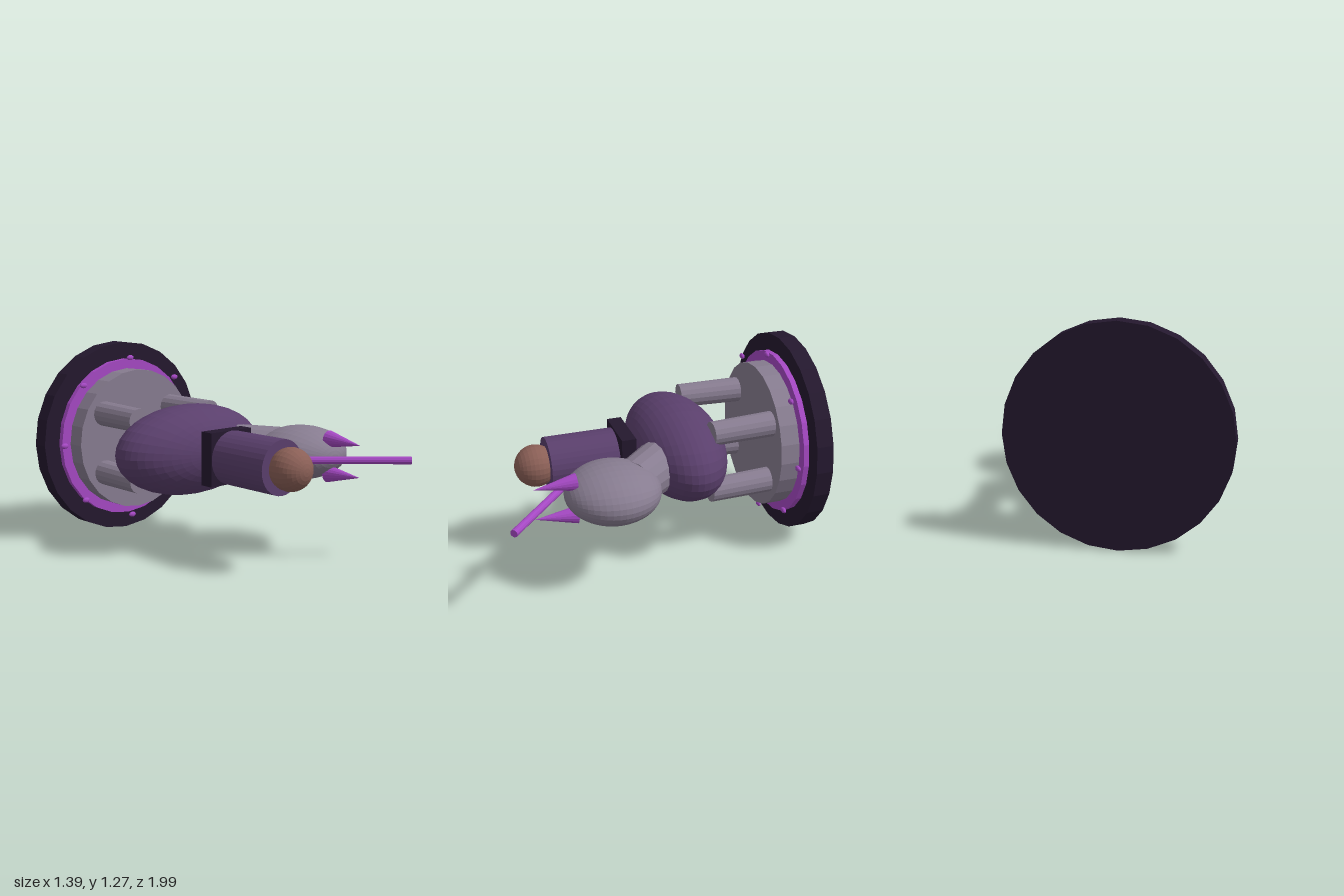
import * as THREE from 'three';

const material = (color) => new THREE.MeshStandardMaterial({ color, flatShading: true });
const dark = material(0x24182e);
const purple = material(0x5a3f6c);
const grey = material(0x877c90);
const magenta = material(0xa448c2);
const brown = material(0x8a5f56);

export function createModel() {
  const model = new THREE.Group();
  model.name = 'mountedFigure';
  // the figure is upright along z, standing on a disc at z = -1
  const cx = -0.063, cy = 0.638;

  const add = (name, geometry, mat, x, y, z) => {
    const mesh = new THREE.Mesh(geometry, mat);
    mesh.name = name;
    mesh.position.set(x, y, z);
    model.add(mesh);
    return mesh;
  };
  const ellipsoid = (name, mat, x, y, z, rx, ry, rz, w = 32, h = 24) =>
    add(name, new THREE.SphereGeometry(1, w, h).rotateX(Math.PI / 2).scale(rx, ry, rz), mat, x, y, z);
  // tapered round bar between two points
  const bar = (name, mat, from, to, r0, r1, sides) => {
    const a = new THREE.Vector3(...from), b = new THREE.Vector3(...to);
    const dir = b.clone().sub(a);
    const mid = a.clone().add(b).multiplyScalar(0.5);
    const mesh = add(name, new THREE.CylinderGeometry(r1, r0, dir.length(), sides), mat, mid.x, mid.y, mid.z);
    mesh.quaternion.setFromUnitVectors(new THREE.Vector3(0, 1, 0), dir.normalize());
    return mesh;
  };
  const disc = (name, mat, r, z0, z1, sides = 24) =>
    add(name, new THREE.CylinderGeometry(r, r, z1 - z0, sides).rotateX(Math.PI / 2), mat, cx, cy, (z0 + z1) / 2);

  // stepped base
  disc('base', dark, 0.637, -1, -0.893);
  disc('baseTrim', magenta, 0.527, -0.893, -0.858);
  disc('plinth', grey, 0.463, -0.858, -0.74);

  // ring of beads
  for (let i = 0; i < 8; i++) {
    const a = (i * Math.PI) / 4;
    ellipsoid('bead', magenta, cx + 0.537 * Math.cos(a), cy + 0.537 * Math.sin(a), -0.815, 0.027, 0.018, 0.014, 12, 8);
  }

  // four slightly splayed legs
  for (const sx of [-1, 1]) for (const sy of [-1, 1])
    bar('leg', grey, [cx + sx * 0.275, cy + sy * 0.195, -0.75], [cx + sx * 0.295, cy + sy * 0.195, -0.34], 0.08, 0.075, 16);

  // animal body, neck and head
  ellipsoid('body', purple, cx, cy, -0.21, 0.543, 0.286, 0.286);
  bar('neck', grey, [0.13, cy, -0.07], [0.345, cy, 0.19], 0.16, 0.145, 16);
  ellipsoid('head', grey, 0.39, cy, 0.333, 0.286, 0.166, 0.287);

  // pair of tusks
  for (const s of [-1, 1])
    bar('tusk', magenta, [0.403, cy + s * 0.108, 0.553], [0.405, cy + s * 0.097, 0.805], 0.053, 0, 16);

  // saddle and rider
  add('saddle', new THREE.BoxGeometry(0.325, 0.33, 0.09), dark, cx, cy, 0.14);
  disc('riderBody', purple, 0.167, 0.195, 0.622, 32);
  ellipsoid('riderHead', brown, cx, cy, 0.69, 0.13, 0.13, 0.13, 24, 16);

  // lance held across the front
  bar('lance', magenta, [0.06, cy, 0.425], [0.672, cy, 0.978], 0.023, 0.023, 12);

  return model;
}
